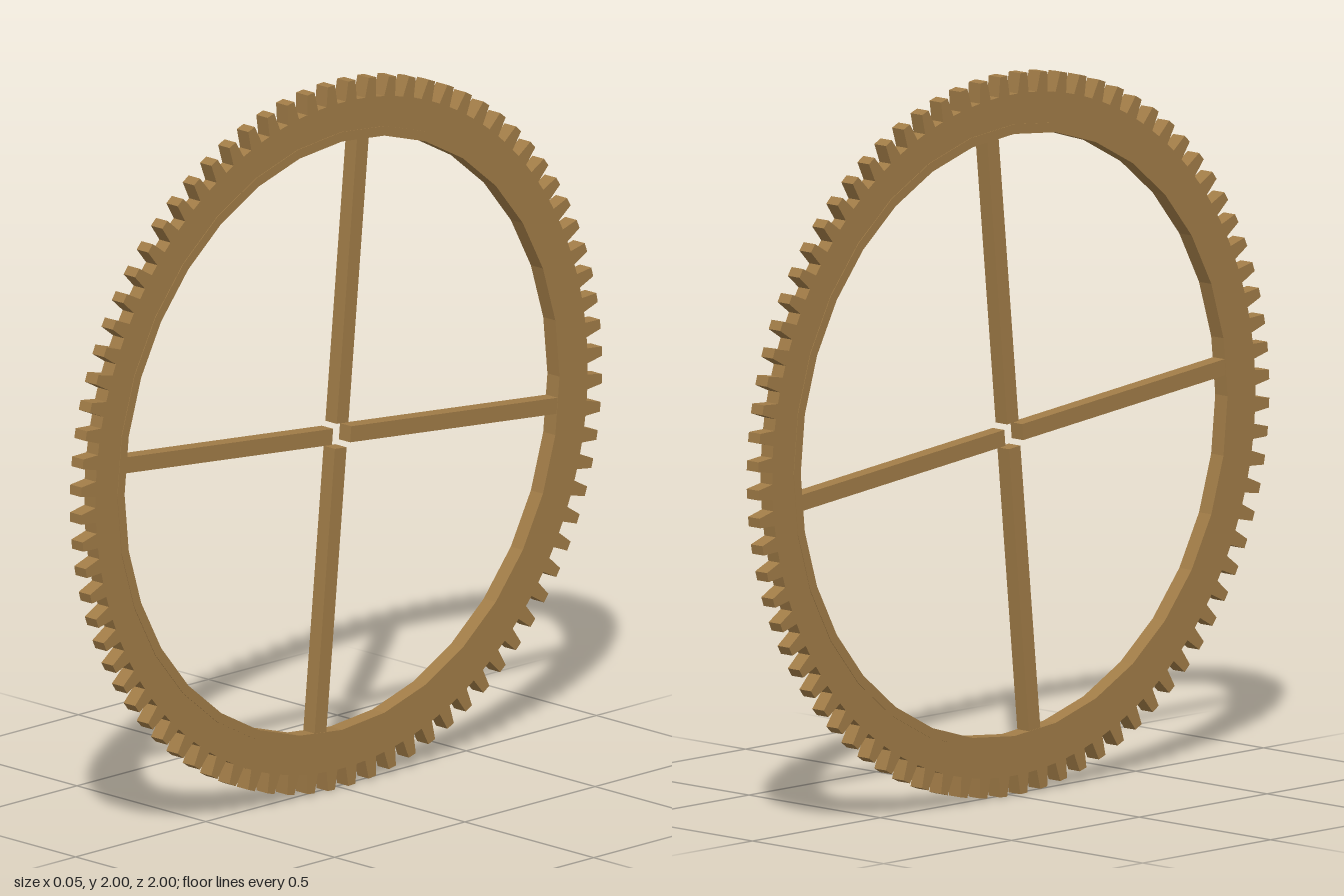
import * as THREE from 'three';

const TEETH = 80, RIM_SIDES = 32;
const ROOT = 0.945, TIP = 1.0, RIM_OUTER = 0.862, RIM_INNER = 0.835;
const THICK = 0.044, RIM_THICK = 0.047;

const polar = (r, a) => new THREE.Vector2(r * Math.cos(a), r * Math.sin(a));

function polygon(radius, sides) {
  return Array.from({ length: sides }, (_, i) => polar(radius, (i / sides) * Math.PI * 2));
}

// Flat ring with a hole, extruded evenly about its middle plane
function ring(outer, inner, depth) {
  const shape = new THREE.Shape(outer);
  shape.holes.push(new THREE.Path(inner));
  const geo = new THREE.ExtrudeGeometry(shape, { depth, bevelEnabled: false });
  return geo.translate(0, 0, -depth / 2);
}

export function createModel() {
  const model = new THREE.Group();
  model.name = 'gearWheel';
  const brass = new THREE.MeshStandardMaterial({ color: 0xa17c47, flatShading: true });
  brass.name = 'brass';

  // Wheel is drawn in the xy plane, then turned to face +x
  const wheel = new THREE.Group();
  wheel.name = 'wheel';
  wheel.position.y = 1;
  wheel.rotation.y = Math.PI / 2;
  model.add(wheel);

  const add = (name, geo) => {
    const mesh = new THREE.Mesh(geo, brass);
    mesh.name = name;
    wheel.add(mesh);
    return mesh;
  };

  // Toothed ring: tapered teeth, offset half a pitch from the axes
  const outline = [];
  const baseHalf = 0.021 / ROOT, tipHalf = 0.0135 / TIP;
  for (let i = 0; i < TEETH; i++) {
    const a = ((i + 0.5) / TEETH) * Math.PI * 2;
    outline.push(polar(ROOT, a - baseHalf), polar(TIP, a - tipHalf),
      polar(TIP, a + tipHalf), polar(ROOT, a + baseHalf));
  }
  add('toothedRing', ring(outline, polygon(RIM_OUTER - 0.01, RIM_SIDES), THICK));

  // Slightly raised inner rim
  add('innerRim', ring(polygon(RIM_OUTER, RIM_SIDES), polygon(RIM_INNER, RIM_SIDES), RIM_THICK));

  // Four spokes that stop short of the open centre
  const start = 0.035, end = 0.84;
  for (let i = 0; i < 4; i++) {
    const geo = new THREE.BoxGeometry(end - start, 0.045, THICK);
    geo.translate((start + end) / 2, 0, 0);
    add('spoke' + (i + 1), geo).rotation.z = (i * Math.PI) / 2 - Math.PI / RIM_SIDES;
  }
  return model;
}
